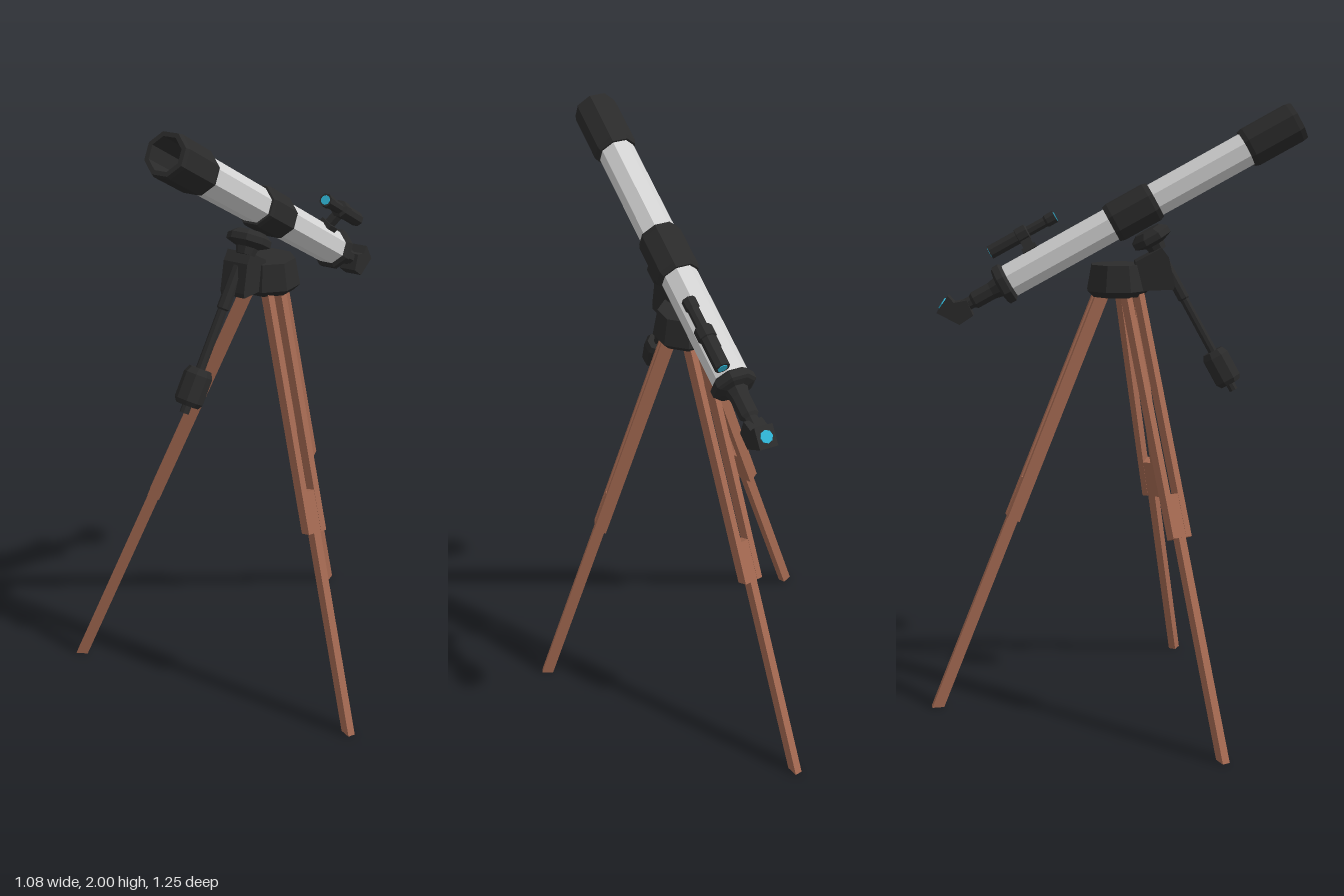
import * as THREE from 'three';

const V = (x, y, z) => new THREE.Vector3(x, y, z);
const UP = V(0, 1, 0);

export function createModel() {
  const material = (name, color) => {
    const m = new THREE.MeshStandardMaterial({ color });
    m.name = name;
    return m;
  };
  const black = material('black plastic', 0x2b2b2b);
  const silver = material('silver tube', 0xd4d4d4);
  const wood = material('brown wood', 0xa56a52);
  const glass = material('blue glass', 0x2fb4d4);

  const root = new THREE.Group();
  root.name = 'telescope';

  // Faceted mesh with one normal per face
  function add(parent, name, geometry, mat) {
    const g = geometry.index ? geometry.toNonIndexed() : geometry;
    g.computeVertexNormals();
    const mesh = new THREE.Mesh(g, mat);
    mesh.name = name;
    parent.add(mesh);
    return mesh;
  }
  // Eight-sided turned part from [radius, height] pairs, listed upward, flats facing the axes
  const turned = (profile) =>
    new THREE.LatheGeometry(profile.map(([r, y]) => new THREE.Vector2(r, y)), 8).rotateY(Math.PI / 8);
  // Side outline of [z, y] points given a width along x
  function sidePlate(points, width, x) {
    const shape = new THREE.Shape(points.map(([z, y]) => new THREE.Vector2(z, y)));
    return new THREE.ExtrudeGeometry(shape, { depth: width, bevelEnabled: false })
      .rotateY(-Math.PI / 2).translate(x + width / 2, 0, 0);
  }
  function aim(mesh, position, direction) {
    mesh.position.copy(position);
    mesh.quaternion.setFromUnitVectors(UP, direction.clone().normalize());
  }

  // Optical tube: local y runs toward the front opening, local -z is its upper side
  const scope = new THREE.Group();
  scope.name = 'opticalTube';
  scope.position.set(0.09, 1.65, 0.056);
  scope.rotation.x = THREE.MathUtils.degToRad(61.2);
  root.add(scope);

  add(scope, 'mainTube', turned([[0, -0.48], [0.058, -0.48], [0.058, 0.43], [0, 0.43]]), silver);
  add(scope, 'frontHood', turned([
    [0.056, 0.42], [0.065, 0.42], [0.07, 0.435], [0.07, 0.595], [0.066, 0.612],
    [0.052, 0.612], [0.052, 0.455], [0, 0.455],
  ]), black);
  add(scope, 'mainLens', turned([[0, 0.456], [0.051, 0.456], [0.051, 0.464], [0, 0.464]]), glass);
  add(scope, 'middleRing', turned([
    [0.056, -0.082], [0.065, -0.082], [0.07, -0.066], [0.07, 0.066], [0.065, 0.082], [0.056, 0.082],
  ]), black);
  add(scope, 'focuser', turned([
    [0, -0.655], [0.022, -0.655], [0.022, -0.605], [0.03, -0.595], [0.03, -0.53], [0.036, -0.505],
    [0.06, -0.5], [0.07, -0.494], [0.07, -0.472], [0.056, -0.46],
  ]), black);

  // Finder scope on its bracket
  const finder = new THREE.Group();
  finder.name = 'finderScope';
  finder.position.set(0.062, -0.355, -0.108);
  scope.add(finder);
  add(finder, 'finderBody', turned([
    [0, -0.123], [0.024, -0.123], [0.024, -0.02], [0.029, -0.018], [0.029, 0.018], [0.018, 0.022],
    [0.018, 0.085], [0.022, 0.092], [0.022, 0.123], [0, 0.123],
  ]), black);
  for (const end of [-1, 1]) {
    add(finder, 'finderLens', new THREE.CylinderGeometry(0.016, 0.016, 0.006, 8), glass)
      .position.y = end * 0.122;
  }
  const bracket = new THREE.Group();
  bracket.name = 'finderBracket';
  bracket.position.y = -0.355;
  bracket.rotation.y = -Math.PI / 6;
  scope.add(bracket);
  add(bracket, 'finderPost', new THREE.BoxGeometry(0.022, 0.035, 0.07).translate(0, 0, -0.085), black);
  add(bracket, 'finderFoot', new THREE.BoxGeometry(0.045, 0.05, 0.016).translate(0, 0, -0.06), black);

  // Angled eyepiece
  add(root, 'diagonalEyepiece', sidePlate([
    [-0.47, 1.315], [-0.515, 1.285], [-0.59, 1.325], [-0.552, 1.38], [-0.532, 1.358], [-0.49, 1.366],
  ], 0.06, 0.092), black);
  aim(add(root, 'eyepieceLens', new THREE.CylinderGeometry(0.02, 0.02, 0.008, 8), glass),
    V(0.092, 1.3525, -0.571), V(0, 0.57, -0.82));

  // Mount head, tilt knuckle and saddle
  add(root, 'mountHead', turned([
    [0, 1.38], [0.085, 1.38], [0.106, 1.4], [0.09, 1.485], [0, 1.485],
  ]).translate(0.058, 0, 0.003), black);
  add(root, 'tiltKnuckle', sidePlate([
    [0.05, 1.4], [0.185, 1.405], [0.188, 1.42], [0.168, 1.51], [0.145, 1.54], [0.06, 1.495],
  ], 0.085, 0.045), black);
  const saddle = add(root, 'saddle', turned([
    [0, -0.045], [0.03, -0.045], [0.035, -0.022], [0.07, -0.008], [0.07, 0.012], [0.045, 0.03], [0, 0.03],
  ]), black);
  aim(saddle, V(0.06, 1.567, 0.115), V(0, 0.876, -0.482));

  // Pan handle with grip
  const handleTop = V(0.048, 1.5, 0.15), handleTip = V(-0.008, 1.075, 0.383);
  const length = handleTop.distanceTo(handleTip);
  aim(add(root, 'panHandle', turned([
    [0, 0], [0.015, 0], [0.015, length - 0.15], [0.022, length - 0.145], [0.022, length - 0.135],
    [0.036, length - 0.12], [0.036, length], [0, length],
  ].map(([r, y]) => [Math.min(r, 0.02), y])), black), handleTip, handleTop.clone().sub(handleTip));
  aim(add(root, 'handleGrip', turned([
    [0, 0.025], [0.036, 0.025], [0.046, 0.04], [0.046, 0.125], [0.036, 0.145], [0, 0.145],
  ]), black), handleTip, handleTop.clone().sub(handleTip));

  // Tripod legs: two rails, a spacer block and a sliding lower leg
  function leg(name, top, foot) {
    const group = new THREE.Group();
    group.name = name;
    root.add(group);
    const axis = top.clone().sub(foot).normalize();
    const side = V(axis.z, 0, -axis.x).normalize();
    const depthDir = side.clone().cross(axis);
    const basis = new THREE.Matrix4().makeBasis(side, axis, depthDir);
    const bar = (part, fromY, toY, width, depth, offset = 0) => {
      const a = fromY / axis.y, b = toY / axis.y;
      const g = new THREE.BoxGeometry(width, b - a, depth)
        .translate(offset, (a + b) / 2, 0).applyMatrix4(basis).translate(foot.x, 0, foot.z);
      if (fromY === 0) {
        // Cut the foot level with the ground
        const p = g.attributes.position, v = V(0, 0, 0);
        for (let i = 0; i < p.count; i++) {
          v.fromBufferAttribute(p, i);
          if (v.y < 0.1) v.addScaledVector(axis, -v.y / axis.y);
          p.setXYZ(i, v.x, v.y, v.z);
        }
      }
      add(group, part, g, wood);
    };
    bar('lowerLeg', 0, 0.72, 0.025, 0.037);
    bar('spacerBlock', 0.645, 0.775, 0.03, 0.04);
    for (const s of [-1, 1]) bar('upperRail', 0.645, 1.42, 0.02, 0.042, s * 0.0235);
  }
  leg('rightLeg', V(0.018, 1.39, 0.05), V(-0.517, 0, 0.307));
  leg('leftLeg', V(0.1, 1.39, 0.035), V(0.515, 0, 0.235));
  leg('backLeg', V(0.056, 1.39, -0.05), V(-0.033, 0, -0.607));

  return root;
}
